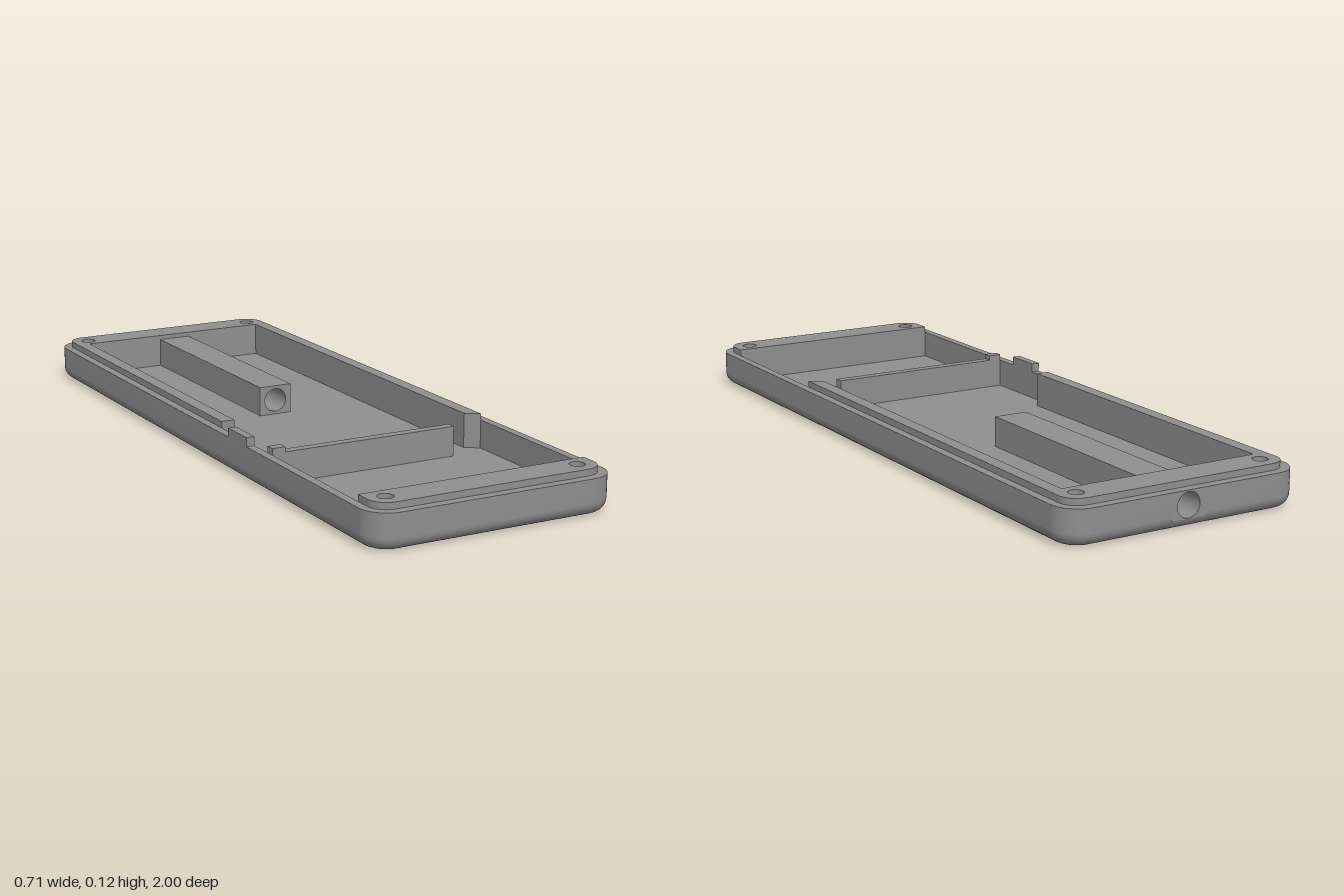
import * as THREE from 'three';

const HX = 0.355, HZ = 1, R = 0.075, FILLET = 0.036;
const FLOOR = 0.02, RIM = 0.1, LIP = 0.118;
const STEM = 0.05, BORE_Y = 0.062, BORE_R = 0.034;
const SCREW_X = 0.28, SCREW_Z = 0.923, SCREW_R = 0.021, SINK_R = 0.037, SINK_D = 0.04;
const V = (x, z) => new THREE.Vector2(x, z);
const SIGNS = [[1, 1], [-1, 1], [-1, -1], [1, -1]];

// One rounded corner (0..3) of a plan rectangle, as points (x, z)
function corner(hx, hz, r, k, n = 10) {
  const [sx, sz] = SIGNS[k], pts = [];
  for (let i = 0; i <= n; i++) {
    const a = (k + i / n) * Math.PI / 2;
    pts.push(V(sx * (hx - r) + r * Math.cos(a), sz * (hz - r) + r * Math.sin(a)));
  }
  return pts;
}

// Rounded outline with two extra points on the back edge beside the bore
function outline(inset) {
  const c = k => corner(HX - inset, HZ - inset, R - inset, k);
  return [...c(0), ...c(1), ...c(2), V(-STEM, inset - HZ), V(STEM, inset - HZ), ...c(3)];
}

function circle(x, y, r) {
  return new THREE.Path().absarc(x, y, r, 0, Math.PI * 2, true);
}

function plan(points, holeR, signs = SIGNS) {
  const s = new THREE.Shape(points);
  signs.forEach(([x, z]) => s.holes.push(circle(x * SCREW_X, z * SCREW_Z, holeR)));
  return s;
}

// Flat horizontal face
function face(shape, y, up) {
  const g = new THREE.ShapeGeometry(shape, 24).rotateX(Math.PI / 2).translate(0, y, 0);
  if (up) {
    g.index.array.reverse();
    g.computeVertexNormals();
  }
  return g;
}

// Plan shape raised from y0 to y1
function raise(shape, y0, y1) {
  return new THREE.ExtrudeGeometry(shape, { depth: y1 - y0, bevelEnabled: false, curveSegments: 24 })
    .rotateX(Math.PI / 2).translate(0, y1, 0);
}

function box(x0, x1, y0, y1, z0, z1) {
  return new THREE.BoxGeometry(x1 - x0, y1 - y0, z1 - z0)
    .translate((x0 + x1) / 2, (y0 + y1) / 2, (z0 + z1) / 2);
}

// Outer side with the rounded lower edge, leaving a window for the back bore
function outerSide() {
  const steps = 6, loops = [], pos = [], idx = [];
  for (let i = 0; i <= steps; i++) {
    const t = i / steps * Math.PI / 2;
    loops.push([FILLET * (1 - Math.cos(t)), FILLET * (1 - Math.sin(t))]);
  }
  loops.push([RIM, 0]);
  let n = 0;
  loops.forEach(([y, inset]) => {
    const pts = outline(inset);
    n = pts.length;
    pts.forEach(p => pos.push(p.x, y, p.y));
  });
  const gap = 33; // segment between the two extra back points
  for (let l = 0; l < loops.length - 1; l++) {
    for (let i = 0; i < n; i++) {
      if (i === gap && l >= steps - 1) continue;
      const a = l * n + i, b = l * n + (i + 1) % n, c = a + n, d = b + n;
      idx.push(a, c, b, b, c, d);
    }
  }
  const g = new THREE.BufferGeometry();
  g.setAttribute('position', new THREE.Float32BufferAttribute(pos, 3));
  g.setIndex(idx);
  g.computeVertexNormals();
  return g;
}

// Inward-facing upright walls along an open path
function innerWalls(path, y0, y1) {
  const pos = [];
  for (let i = 0; i < path.length - 1; i++) {
    const p = path[i], q = path[i + 1];
    pos.push(p.x, y0, p.y, q.x, y0, q.y, p.x, y1, p.y);
    pos.push(q.x, y0, q.y, q.x, y1, q.y, p.x, y1, p.y);
  }
  const g = new THREE.BufferGeometry();
  g.setAttribute('position', new THREE.Float32BufferAttribute(pos, 3));
  g.computeVertexNormals();
  return g;
}

export function createModel() {
  const group = new THREE.Group();
  const grey = new THREE.MeshStandardMaterial({ color: 0x8f8f8f, side: THREE.DoubleSide });
  grey.name = 'grey plastic';
  const add = (name, geometry) => {
    const m = new THREE.Mesh(geometry, grey);
    m.name = name;
    group.add(m);
    return m;
  };

  // Tray shell
  const cavity = [
    V(STEM, -0.88), V(0.293, -0.88), V(0.293, 0.38), V(0.331, 0.405), V(0.331, 0.88),
    V(-0.331, 0.88), V(-0.331, 0.14), V(-0.293, 0.14), V(-0.293, -0.88), V(-STEM, -0.88),
  ];
  const rim = plan(outline(0), SCREW_R);
  rim.holes.push(new THREE.Path(cavity));
  add('outerSide', outerSide());
  add('underside', face(plan(outline(FILLET), SINK_R), 0, false));
  add('rim', face(rim, RIM, true));
  add('floor', face(new THREE.Shape(cavity), FLOOR, true));
  add('innerWalls', innerWalls(cavity, FLOOR, RIM));

  // Raised locating lip, in a back and a front part
  const lipCorner = k => corner(0.331, 0.974, 0.051, k);
  add('backLip', raise(plan([
    V(-0.331, 0.14), ...lipCorner(2), ...lipCorner(3), V(0.331, 0.405),
    V(0.293, 0.38), V(0.293, -0.88), V(-0.293, -0.88), V(-0.293, 0.14),
  ], SCREW_R, SIGNS.slice(2)), RIM, LIP));
  add('frontLip', raise(plan([
    V(0.331, 0.88), ...lipCorner(0), ...lipCorner(1), V(-0.331, 0.88),
  ], SCREW_R, SIGNS.slice(0, 2)), RIM, LIP));

  // Counterbored screw holes
  SIGNS.forEach(([sx, sz]) => {
    const x = sx * SCREW_X, z = sz * SCREW_Z;
    const tube = (r, y0, y1) => new THREE.CylinderGeometry(r, r, y1 - y0, 32, 1, true)
      .translate(x, (y0 + y1) / 2, z);
    add('screwHole', tube(SCREW_R, SINK_D, RIM));
    add('counterbore', tube(SINK_R, 0, SINK_D));
    add('counterboreSeat', new THREE.RingGeometry(SCREW_R, SINK_R, 32)
      .rotateX(Math.PI / 2).translate(x, SINK_D, z));
  });

  // Bored stem block running forward from the back wall
  const section = (y0, y1) => {
    const s = new THREE.Shape([V(-STEM, y0), V(STEM, y0), V(STEM, y1), V(-STEM, y1)]);
    s.holes.push(circle(0, BORE_Y, BORE_R));
    return s;
  };
  add('stem', new THREE.ExtrudeGeometry(section(FLOOR, 0.105), { depth: 0.7, bevelEnabled: false, curveSegments: 24 })
    .translate(0, 0, -0.88));
  add('backBore', new THREE.CylinderGeometry(BORE_R, BORE_R, 0.12, 32, 1, true)
    .rotateX(Math.PI / 2).translate(0, BORE_Y, -0.94));
  add('backBoreFace', new THREE.ShapeGeometry(section(FILLET * (1 - Math.cos(Math.PI * 5 / 12)), RIM), 24)
    .rotateY(Math.PI).translate(0, 0, -HZ));

  // Divider, its taller end post, and the side tab
  add('divider', box(-0.331, 0.223, FLOOR, 0.104, 0.41, 0.437));
  add('dividerPost', box(-0.331, -0.293, FLOOR, LIP, 0.41, 0.437));
  add('sideTab', box(-HX, -0.331, RIM, 0.125, 0.227, 0.335));

  return group;
}
